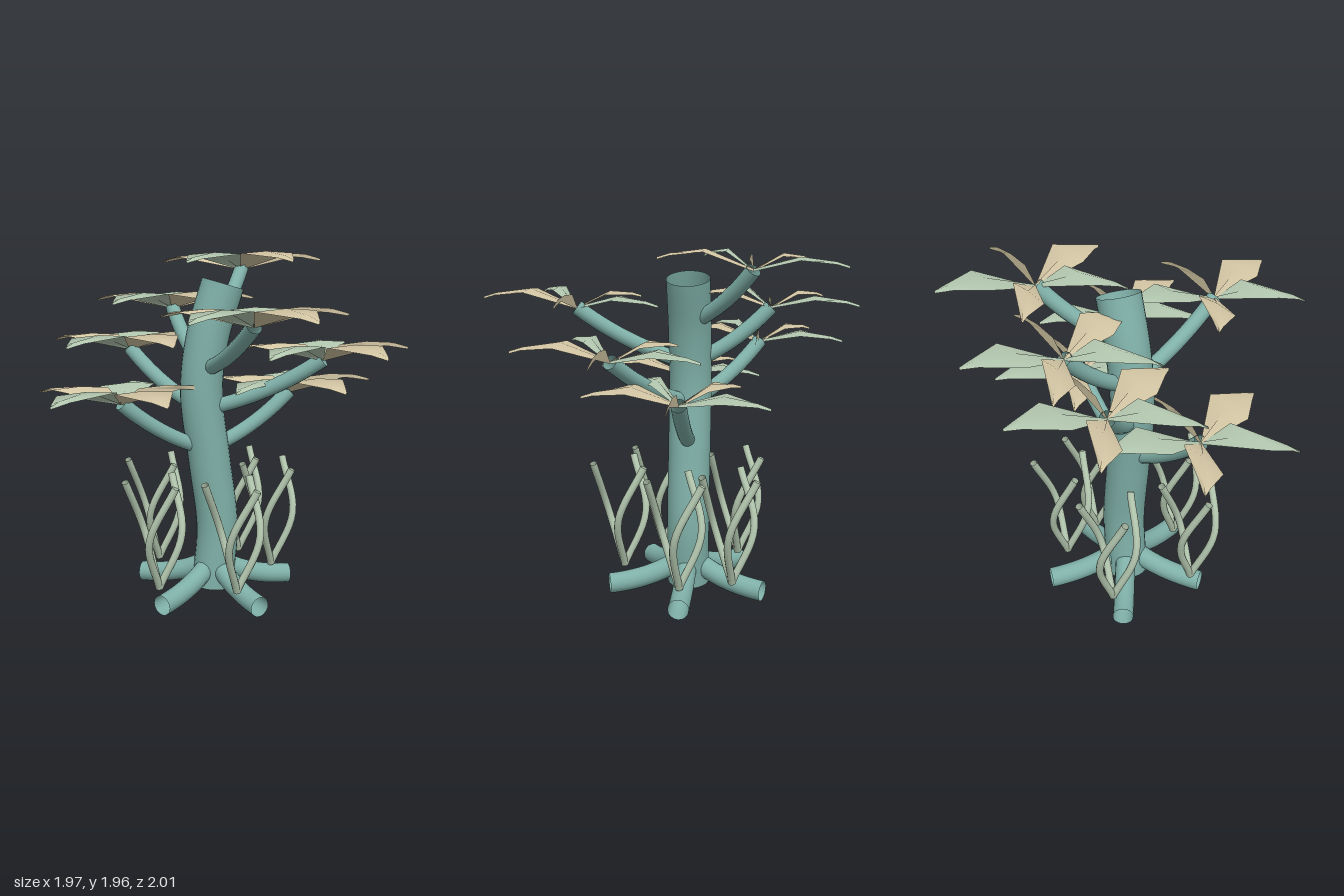
import * as THREE from 'three';

const V = (x, y, z) => new THREE.Vector3(x, y, z);
const mat = (color) => new THREE.MeshStandardMaterial({ color, side: THREE.DoubleSide });
const bark = mat(0x7fb0a8), stemGreen = mat(0xb4c8b0);
const leafMats = [mat(0xd4c7a5), mat(0xb4c8b0)];
const CENTRE_Z = -0.1;

function tube(name, points, radius, sides, material, steps = 12) {
  const curve = new THREE.CatmullRomCurve3(points);
  const mesh = new THREE.Mesh(new THREE.TubeGeometry(curve, steps, radius, sides), material);
  mesh.name = name;
  return mesh;
}

function bend(name, a, b, c, radius, material) {
  const curve = new THREE.QuadraticBezierCurve3(a, b, c);
  const mesh = new THREE.Mesh(new THREE.TubeGeometry(curve, 12, radius, 16), material);
  mesh.name = name;
  return mesh;
}

// Leaf blade: stations along the rib, always widened along x
function leafGeometry(angle) {
  const c = Math.cos(angle), s = Math.sin(angle);
  const tilt = 0.02 * s;
  const stations = [ // distance, half width, height
    [0, 0.004, 0], [0.25, 0.155, 0.085 + tilt], [0.43, 0.045, 0.065 + tilt], [0.5, 0.004, 0.045 + tilt],
  ];
  const pos = [], index = [];
  stations.forEach(([d, w, y], i) => {
    for (const k of [-1, 0, 1]) pos.push(d * c + k * w, y + (k ? -0.008 : 0.004), d * s);
    if (!i) return;
    for (let j = 0; j < 2; j++) {
      const a = (i - 1) * 3 + j, b = a + 3;
      index.push(a, b, a + 1, a + 1, b, b + 1);
    }
  });
  const g = new THREE.BufferGeometry();
  g.setAttribute('position', new THREE.Float32BufferAttribute(pos, 3));
  g.setIndex(index);
  g.computeVertexNormals();
  return g;
}

export function createModel() {
  const model = new THREE.Group();
  model.name = 'tree';

  // Gently curving open trunk
  const trunkPoints = [[-0.04, 0.05], [-0.01, 0.4], [-0.055, 0.8], [-0.1, 1.2], [-0.065, 1.5], [0.025, 1.8]]
    .map(([x, y]) => V(x, y, CENTRE_Z));
  model.add(tube('trunk', trunkPoints, 0.12, 24, bark, 40));
  const trunkX = (y) => {
    const i = Math.max(1, trunkPoints.findIndex((p) => p.y >= y));
    const a = trunkPoints[i - 1], b = trunkPoints[i];
    return a.x + (b.x - a.x) * (y - a.y) / (b.y - a.y);
  };

  // Branches, each ending in a cluster of five leaves
  const leaves = [0, 1, 2, 3, 4].map((i) => leafGeometry(-i * Math.PI * 2 / 5));
  const branchEnds = [
    [0.42, 1.18, -0.1], [-0.57, 1.18, 0], [0.49, 1.41, 0.24], [-0.43, 1.41, -0.47],
    [0.01, 1.635, 0.52], [-0.16, 1.635, -0.54], [0.24, 1.86, -0.46],
  ];
  for (const [x, y, z] of branchEnds) {
    const y0 = y - 0.29, x0 = trunkX(y0);
    const start = V(x0, y0, CENTRE_Z).lerp(V(x, y0, z), 0.1);
    const control = V(x0 + (x - x0) * 0.58, y0 + 0.09, CENTRE_Z + (z - CENTRE_Z) * 0.58);
    model.add(bend('branch', start, control, V(x, y, z), 0.042, bark));
    const cluster = new THREE.Group();
    cluster.name = 'leafCluster';
    cluster.position.set(x, y, z);
    leaves.forEach((g, i) => {
      const leaf = new THREE.Mesh(g, leafMats[i % 2]);
      leaf.name = 'leaf';
      cluster.add(leaf);
    });
    model.add(cluster);
  }

  // Five roots spreading over the ground
  for (let i = 0; i < 5; i++) {
    const a = i * Math.PI * 2 / 5;
    const at = (r, y) => V(-0.03 + r * Math.cos(a), y, CENTRE_Z + r * Math.sin(a));
    model.add(bend('root', at(0.06, 0.175), at(0.22, 0.075), at(0.46, 0.063), 0.058, bark));
  }

  // Tufts of three twisting stems around the trunk
  for (const [x, z] of [[0, 0.27], [0.32, -0.09], [0.2, -0.37], [-0.3, -0.37], [-0.4, 0.1]]) {
    const tuft = new THREE.Group();
    tuft.name = 'stemTuft';
    tuft.position.set(x, 0, z);
    for (let k = 0; k < 3; k++) {
      const a = THREE.MathUtils.degToRad(69 + 120 * k), m = a + 0.96;
      tuft.add(tube('stem', [
        V(0, 0.14, 0),
        V(0.13 * Math.cos(m), 0.45, 0.13 * Math.sin(m)),
        V(0.175 * Math.cos(a), 0.76, 0.175 * Math.sin(a)),
      ], 0.021, 10, stemGreen, 16));
    }
    model.add(tuft);
  }
  return model;
}
